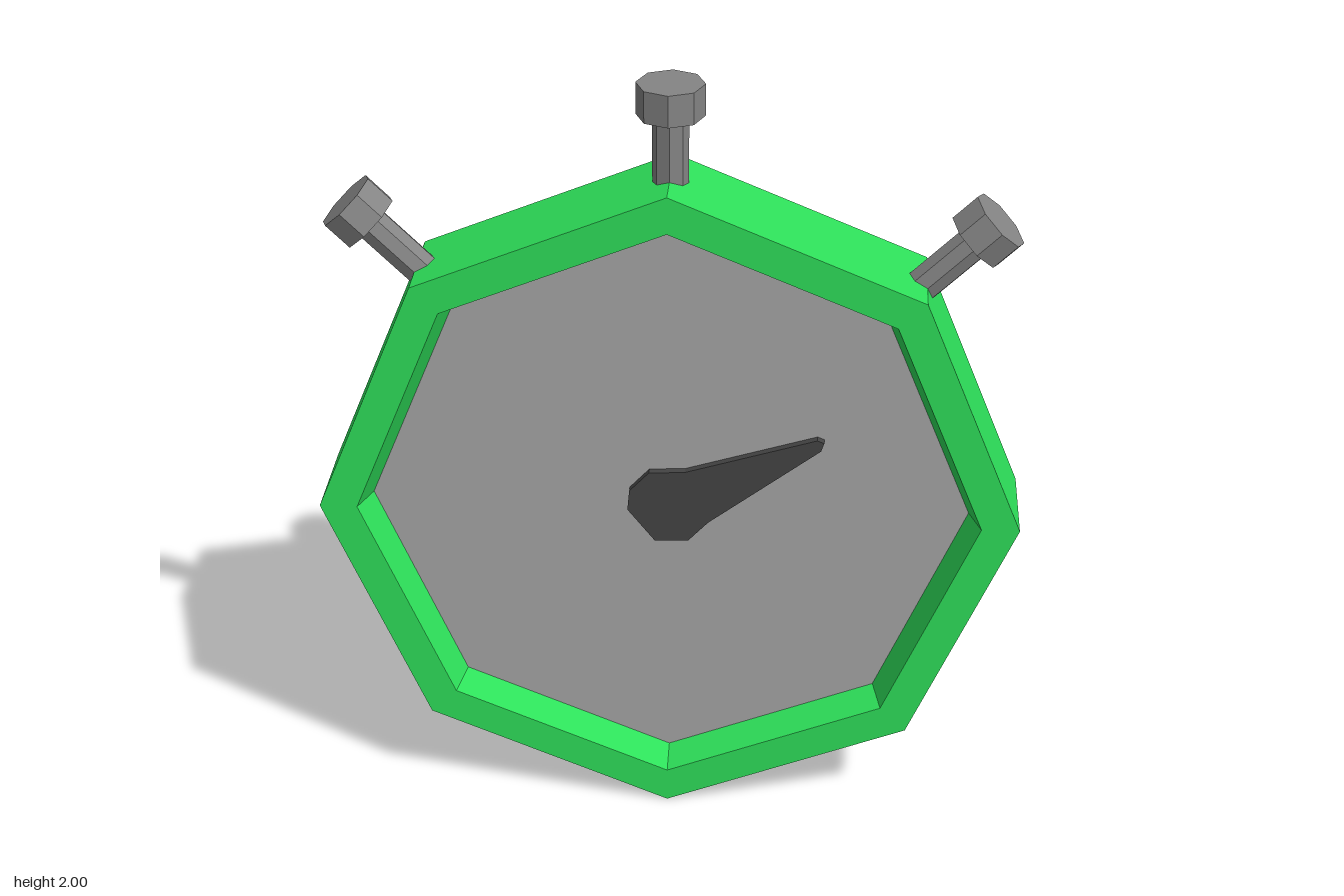
import * as THREE from 'three';

const CENTER_Y = 0.885;
const mat = (color) => new THREE.MeshStandardMaterial({ color, flatShading: true });

function addMesh(parent, name, geometry, material) {
  const mesh = new THREE.Mesh(geometry, material);
  mesh.name = name;
  parent.add(mesh);
  return mesh;
}

export function createModel() {
  const model = new THREE.Group();
  model.name = 'stopwatch';
  const green = mat(0x2ee05a);
  const dialGrey = mat(0xa6a6a6);
  const metal = mat(0x858585);
  const dark = mat(0x444444);

  // Octagonal case: closed back, side wall, front rim and sloped recess
  const profile = [[0, -0.13], [0.88, -0.13], [0.88, 0.13], [0.785, 0.13], [0.755, 0.05]]
    .map(([r, z]) => new THREE.Vector2(r, z));
  const caseGeo = new THREE.LatheGeometry(profile, 8).rotateX(Math.PI / 2);
  addMesh(model, 'case', caseGeo, green).position.y = CENTER_Y;

  // Dial at the bottom of the recess
  const dial = addMesh(model, 'dial', new THREE.CircleGeometry(0.755, 8), dialGrey);
  dial.position.set(0, CENTER_Y, 0.05);

  // Teardrop hand, thin plate lying on the dial
  const handShape = new THREE.Shape([
    [-0.05, 0.98], [-0.1, 0.925], [-0.105, 0.87], [-0.035, 0.78], [0.05, 0.785],
    [0.1, 0.84], [0.38, 1.06], [0.387, 1.083], [0.37, 1.09], [0.04, 0.985],
  ].map(([x, y]) => new THREE.Vector2(x, y)));
  const handGeo = new THREE.ExtrudeGeometry(handShape, { depth: 0.02, bevelEnabled: false });
  addMesh(model, 'hand', handGeo, dark).position.z = 0.05;

  // Three push buttons, radiating from the case centre
  const buttons = { leftButton: -Math.PI / 4, topButton: 0, rightButton: Math.PI / 4 };
  for (const [name, angle] of Object.entries(buttons)) {
    const button = new THREE.Group();
    button.name = name;
    button.position.y = CENTER_Y;
    button.rotation.z = angle;
    const stem = new THREE.CylinderGeometry(0.044, 0.044, 0.18, 8);
    addMesh(button, 'stem', stem, metal).position.y = 0.95;
    const cap = new THREE.CylinderGeometry(0.083, 0.083, 0.08, 8);
    addMesh(button, 'cap', cap, metal).position.y = 1.075;
    model.add(button);
  }
  return model;
}
